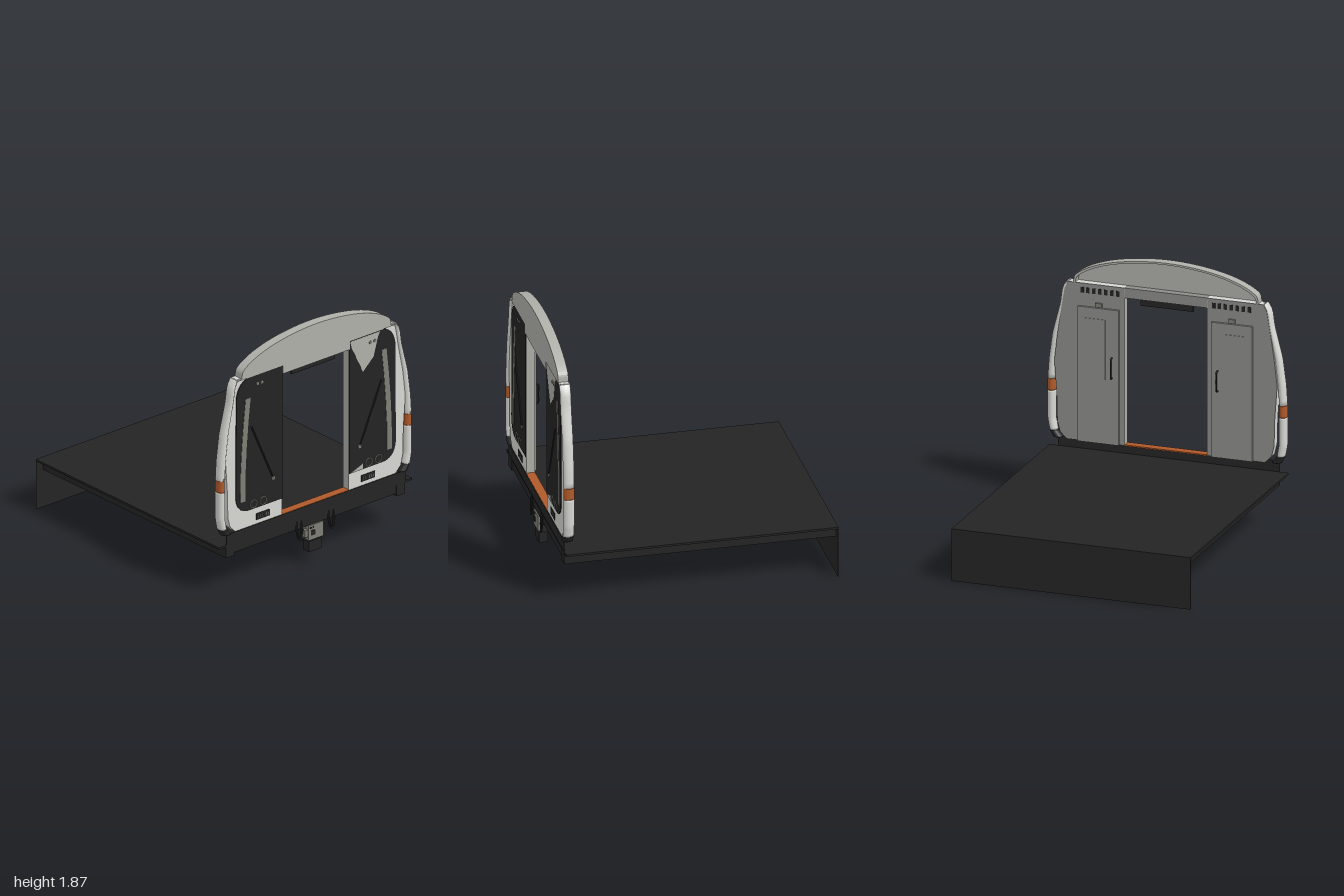
import * as THREE from 'three';

const mat = (name, color, side = THREE.FrontSide) => {
  const m = new THREE.MeshStandardMaterial({ color, side });
  m.name = name;
  return m;
};

export function createModel() {
  const black = mat('underframe black', 0x242424);
  const white = mat('body white', 0xd6d6d2, THREE.DoubleSide);
  const grey = mat('roof grey', 0xb0b0aa, THREE.DoubleSide);
  const inner = mat('interior grey', 0x8e8e8a);
  const glass = mat('window black', 0x232323, THREE.DoubleSide);
  const trim = mat('trim grey', 0x7e7e76, THREE.DoubleSide);
  const orange = mat('band orange', 0xb05a2a, THREE.DoubleSide);

  const model = new THREE.Group();
  const add = (name, geo, m) => {
    const mesh = new THREE.Mesh(geo, m);
    mesh.name = name;
    model.add(mesh);
    return mesh;
  };
  // box given by its limits on each axis
  const box = (name, x0, x1, y0, y1, z0, z1, m) =>
    add(name, new THREE.BoxGeometry(x1 - x0, y1 - y0, Math.abs(z1 - z0))
      .translate((x0 + x1) / 2, (y0 + y1) / 2, (z0 + z1) / 2), m);
  // plate across the cab, drawn in (z, y) and extruded along x
  const plate = (name, shape, x0, x1, m) =>
    add(name, new THREE.ExtrudeGeometry(shape, { depth: x1 - x0, bevelEnabled: false, curveSegments: 10 })
      .rotateY(Math.PI / 2).translate(x0, 0, 0), m);
  const poly = (pts, s = 1) => new THREE.Shape(pts.map(([z, y]) => new THREE.Vector2(-s * z, y)));
  const tube = (name, pts, r, m, n = 16) =>
    add(name, new THREE.TubeGeometry(new THREE.CatmullRomCurve3(pts.map(p => new THREE.Vector3(...p))), n, r, 6), m);
  const disc = (name, x, y, z, r, m, d = 0.008) =>
    add(name, new THREE.CylinderGeometry(r, r, d, 20).rotateZ(-Math.PI / 2).translate(x, y, z), m);
  const ring = (name, x, y, z, r, t, m) =>
    add(name, new THREE.TorusGeometry(r, t, 6, 24).rotateY(Math.PI / 2).translate(x, y, z), m);

  // floor, rear end plate and underframe
  box('floorDeck', -1, 0.92, 0.375, 0.39, -0.905, 0.905, black);
  box('floorFrontEdge', 0.92, 0.985, 0.375, 0.39, -0.905, 0.905, black);
  box('rearEndPlate', -1, -0.996, 0, 0.385, -0.905, 0.905, black);
  box('frontBeam', 0.92, 0.98, 0.31, 0.376, -0.77, 0.77, black);
  box('crossBeam', 0.5, 0.58, 0.31, 0.376, -0.77, 0.77, black);
  box('anticlimber', 0.982, 0.988, 0.39, 0.472, -0.84, 0.84, black);
  box('couplerPocket', 0.57, 0.79, 0.2, 0.376, -0.1, 0.1, black);
  for (const s of [1, -1]) {
    box('sideSill', -0.996, 0.985, 0.29, 0.376, s * 0.76, s * 0.84, black);
    box('rearBlock', -0.996, -0.93, 0.23, 0.376, s * 0.2, s * 0.41, black);
    for (let i = 0; i < 5; i++) {
      const x = -0.92 + i * 0.27;
      tube('underfloorPipe', [[x, 0.335, s * 0.3], [x + 0.25, 0.335, s * 0.3]], 0.012, trim, 1);
      tube('underfloorConduit', [[x, 0.335, s * 0.335], [x + 0.25, 0.335, s * 0.335]], 0.009, black, 1);
    }
    // brake hoses beside the coupler
    for (const [c, w] of [[0.15, 0.026], [0.15, 0.016]])
      tube('hose', [[0.975, 0.37, s * (c - w)], [0.985, 0.28, s * (c - w)], [0.985, 0.225, s * c],
        [0.985, 0.28, s * (c + w)], [0.975, 0.37, s * (c + w)]], 0.006, black, 20);
  }

  // coupler
  add('couplerShaft', new THREE.CylinderGeometry(0.032, 0.032, 0.17, 16).rotateZ(Math.PI / 2).translate(0.875, 0.26, 0), trim);
  for (const x of [0.81, 0.83, 0.93])
    disc('couplerCollar', x, 0.26, 0, 0.04, trim, 0.012);
  box('couplerHead', 0.95, 0.99, 0.195, 0.31, -0.07, 0.07, trim);
  box('couplerSide', 0.955, 0.985, 0.225, 0.28, 0.07, 0.1, trim);
  box('couplerSocket', 0.988, 0.994, 0.23, 0.268, 0.01, 0.05, black);
  for (const z of [0.028, 0.048]) box('couplerPin', 0.988, 0.994, 0.284, 0.296, z - 0.007, z + 0.007, black);
  box('couplerBox', 0.915, 0.98, 0.1, 0.18, -0.06, 0.06, black);
  box('couplerBracket', 0.84, 0.915, 0.15, 0.162, -0.03, 0.03, black);

  // roof dome: front plate, outer shell and lintel
  const arc = [[0.7, 1.65], [0.69, 1.7], [0.65, 1.735], [0.55, 1.785], [0.4, 1.83], [0.2, 1.862], [0, 1.873]];
  const mirrored = a => [...a, ...a.slice(0, -1).reverse().map(([z, y]) => [-z, y])];
  const curve = new THREE.CatmullRomCurve3(mirrored(arc).map(([z, y]) => new THREE.Vector3(z, y, 0)));
  const outer = curve.getPoints(48).map(p => [p.x, p.y]);
  const within = outer.map(([z, y]) => [z * 0.98, y - 0.014]).reverse();
  plate('domeFront', poly([...outer, [-0.74, 1.64], [-0.315, 1.64], [-0.315, 1.575],
    [0.315, 1.575], [0.315, 1.64], [0.74, 1.64]]), 0.98, 0.995, grey);
  plate('domeShell', poly([...outer, ...within]), 0.92, 0.98, grey);
  box('lintel', 0.925, 0.98, 1.575, 1.65, -0.316, 0.316, inner);
  box('lintelBack', 0.92, 0.926, 1.575, 1.65, -0.74, 0.74, inner);
  box('doorHeader', 0.94, 0.96, 1.525, 1.576, -0.2, 0.2, black);
  box('doorThreshold', 0.92, 0.985, 0.465, 0.475, -0.316, 0.316, orange);

  // corner pillar outline: height, inner z, outer z
  const rows = [[0.47, 0.79, 0.865], [0.52, 0.83, 0.89], [0.6, 0.845, 0.905], [0.9, 0.847, 0.905], [1.05, 0.838, 0.895],
    [1.25, 0.815, 0.868], [1.48, 0.77, 0.807], [1.6, 0.75, 0.792], [1.65, 0.735, 0.755]];
  const rowAt = y => {
    const i = Math.max(1, rows.findIndex(r => r[0] >= y - 1e-6));
    const [a, b] = [rows[i - 1], rows[i]], t = (y - a[0]) / (b[0] - a[0]);
    return [a[1] + (b[1] - a[1]) * t, a[2] + (b[2] - a[2]) * t];
  };
  const pillar = (name, y0, y1, s, m) => {
    const pos = [], idx = [], N = 18, R = 20;
    for (let j = 0; j <= R; j++) {
      const y = y0 + (y1 - y0) * j / R, [zi, zo] = rowAt(y);
      for (let i = 0; i < N; i++) {
        const a = i / N * Math.PI * 2;
        pos.push(0.96 + 0.04 * Math.cos(a), y, s * ((zi + zo) / 2 + (zo - zi) / 2 * Math.sin(a)));
        if (j < R) {
          const p = j * N + i, q = j * N + (i + 1) % N;
          if (s > 0) idx.push(p, p + N, q, q, p + N, q + N);
          else idx.push(p, q, p + N, q, q + N, p + N);
        }
      }
    }
    for (let i = 1; i < N - 1; i++) {
      const t = R * N;
      if (s > 0) idx.push(0, i, i + 1, t, t + i + 1, t + i);
      else idx.push(0, i + 1, i, t, t + i, t + i + 1);
    }
    const g = new THREE.BufferGeometry();
    g.setAttribute('position', new THREE.Float32BufferAttribute(pos, 3));
    g.setIndex(s > 0 ? idx.reverse() : idx.reverse());
    g.computeVertexNormals();
    // keep the winding facing outwards
    const n = g.attributes.normal, k = 10 * N;
    if (n.getX(k) < 0) { g.setIndex(idx.reverse()); g.computeVertexNormals(); }
    add(name, g, m);
  };

  const face = [[0.315, 0.47], [0.75, 0.47], [0.8, 0.52], [0.82, 0.6], [0.825, 0.8], [0.843, 1.05],
    [0.82, 1.25], [0.79, 1.45], [0.765, 1.6], [0.74, 1.65], [0.315, 1.65]];
  for (const s of [1, -1]) {
    pillar('pillarFoot', 0.47, 0.52, s, glass);
    pillar('pillarLower', 0.52, 0.815, s, white);
    pillar('pillarBand', 0.815, 0.905, s, orange);
    pillar('pillarUpper', 0.905, 1.65, s, white);

    // front panel and inner wall
    plate('frontPanel', poly(face, s), 0.928, 0.982, white);
    plate('innerWall', poly(face, s), 0.918, 0.928, inner);
    box('doorJamb', 0.92, 0.981, 0.47, 1.64, s * 0.312, s * 0.318, grey);

    // window with rounded outer corners
    const w = new THREE.Shape(), k = -s;
    w.moveTo(k * 0.315, 0.6);
    w.lineTo(k * 0.63, 0.6);
    w.quadraticCurveTo(k * 0.74, 0.605, k * 0.75, 0.73);
    w.lineTo(k * 0.745, 1.5);
    w.quadraticCurveTo(k * 0.725, 1.63, k * 0.61, 1.64);
    w.lineTo(k * 0.315, 1.64);
    plate('window', w, 0.98, 0.988, glass);

    // curved light strip
    const edge = [[0.71, 0.683], [0.708, 0.9], [0.697, 1.1], [0.68, 1.3], [0.66, 1.48]];
    plate('lightStrip', poly([...edge, ...edge.map(([z, y]) => [z - 0.046, y]).reverse()], s), 0.986, 0.991, trim);

    // wiper, lamps and grille
    tube('wiper', [[0.994, 0.79, s * 0.405], [0.994, 1.25, s * 0.61]], 0.006, black, 1);
    disc('wiperPivot', 0.995, 0.79, s * 0.405, 0.016, trim);
    for (const z of [0.495, 0.585]) ring('headlamp', 0.99, 0.64, s * z, 0.03, 0.004, trim);
    for (const z of [0.51, 0.55]) disc('markerLamp', 0.991, 1.57, s * z, 0.012, trim);
    box('grille', 0.98, 0.986, 0.502, 0.552, s * 0.43, s * 0.555, black);
    for (let i = 0; i < 6; i++)
      box('grilleBar', 0.985, 0.989, 0.515, 0.539, s * (0.445 + i * 0.018), s * (0.449 + i * 0.018), trim);

    // inside door with raised panel, handle, latch and vent slots
    box('innerDoor', 0.9, 0.919, 0.47, 1.48, s * 0.35, s * 0.66, inner);
    box('innerDoorPanel', 0.896, 0.901, 0.95, 1.4, s * 0.45, s * 0.62, inner);
    tube('doorHandle', [[0.9, 0.97, s * 0.4], [0.878, 0.972, s * 0.4], [0.875, 1.045, s * 0.4],
      [0.878, 1.118, s * 0.4], [0.9, 1.12, s * 0.4]], 0.006, black);
    box('doorLatch', 0.905, 0.919, 1.485, 1.515, s * 0.48, s * 0.53, trim);
    for (let i = 0; i < 7; i++)
      box('ventSlot', 0.914, 0.919, 1.58, 1.62, s * (0.35 + i * 0.045), s * (0.375 + i * 0.045), black);
  }

  // pale panels behind the right-hand glass
  plate('windowBlind', poly([[0.32, 1.63], [0.6, 1.63], [0.58, 1.59], [0.54, 1.45], [0.44, 1.36], [0.335, 1.575]], -1), 0.985, 0.9895, grey);
  plate('windowCornerPanel', poly([[0.325, 0.603], [0.44, 0.645], [0.44, 0.603]], -1), 0.985, 0.9895, grey);
  return model;
}
